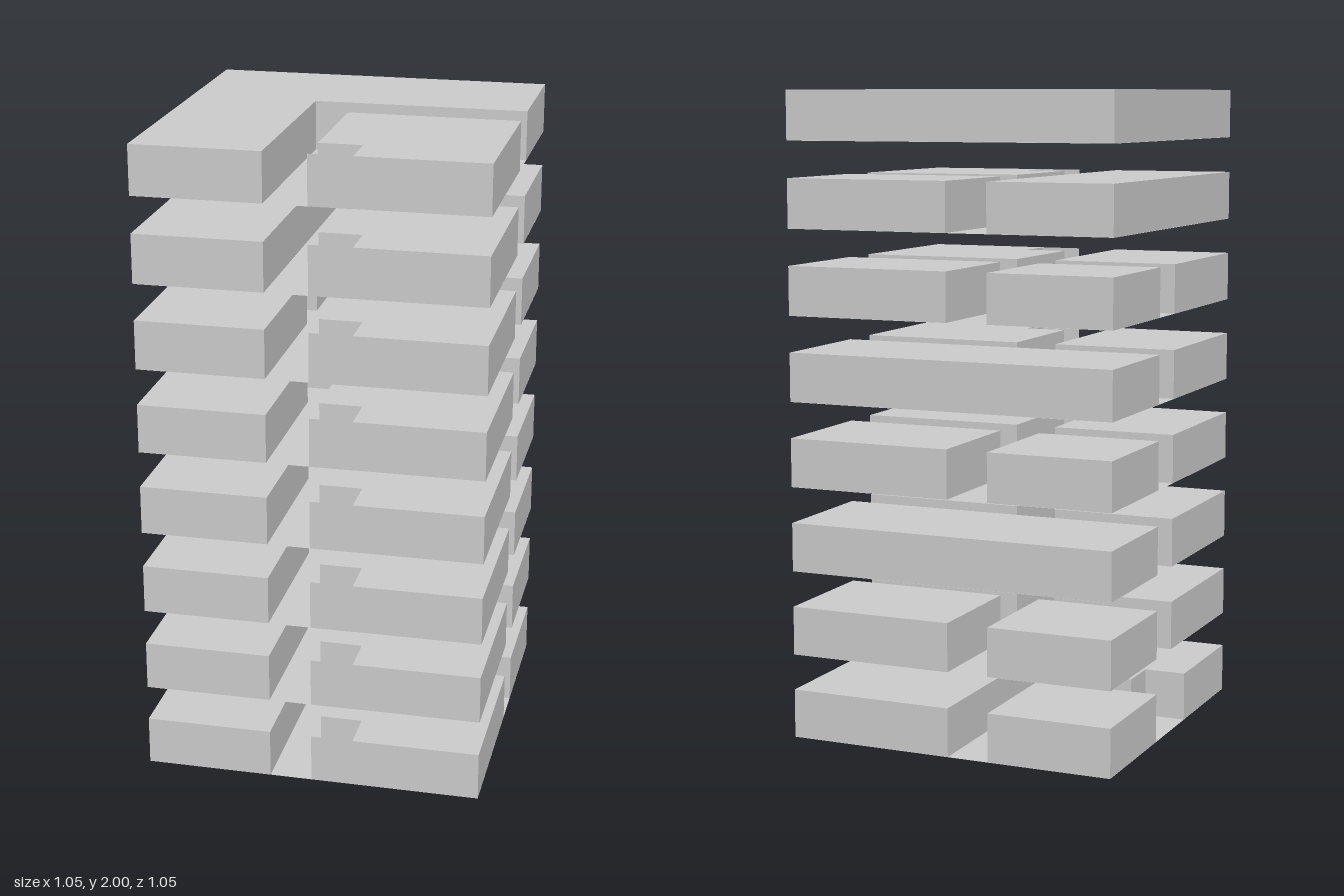
import * as THREE from 'three';

const CELL = 0.1315;   // plan is an 8 x 8 grid of cells
const PITCH = 0.264;   // storey to storey
const HEIGHT = 0.152;  // slab height
const LIFT = 0.0005;   // keeps blocks just clear of their floor sheet

const material = new THREE.MeshStandardMaterial({ color: 0xcccccc, flatShading: true });
const sheetMaterial = new THREE.MeshStandardMaterial({ color: 0xcccccc, side: THREE.DoubleSide });

// grid coordinate to model coordinate
const at = (i) => (i - 4) * CELL;

const rect = (x0, x1, z0, z1) => [[x0, z0], [x1, z0], [x1, z1], [x0, z1]];

// upright block from a plan outline given in grid cells [x, z]
function block(name, outline) {
  const shape = new THREE.Shape(outline.map(([x, z]) => new THREE.Vector2(at(x), -at(z))));
  const geometry = new THREE.ExtrudeGeometry(shape, { depth: HEIGHT - LIFT, bevelEnabled: false });
  geometry.rotateX(-Math.PI / 2).translate(0, LIFT, 0);
  const mesh = new THREE.Mesh(geometry, material);
  mesh.name = name;
  return mesh;
}

// front block with its recessed corner cell
const FRONT = [[4, 4], [8, 4], [8, 8], [5, 8], [5, 7], [4, 7]];
// ground storey: front and back blocks joined, with a niche in the side
const JOINED = [[4, 0], [8, 0], [8, 3], [7, 3], [7, 4], [8, 4], [8, 8], [5, 8], [5, 7], [4, 7]];
const ELL = [[0, 0], [8, 0], [8, 3], [3, 3], [3, 8], [0, 8]];

// plan of each kind of storey, depending on which channels are cut
const PLANS = {
  ground: {
    joinedBlock: JOINED,
    cornerBlock: rect(0, 3, 0, 3),
    sideBlock: [[1, 4], [3, 4], [3, 8], [0, 8], [0, 5], [1, 5]],
  },
  cross: {
    frontBlock: FRONT,
    backBlock: rect(4, 8, 0, 3),
    cornerBlock: rect(0, 3, 0, 3),
    sideBlock: rect(0, 3, 4, 8),
  },
  backBar: { frontBlock: FRONT, backBar: rect(0, 8, 0, 3), sideBlock: rect(0, 3, 4, 8) },
  sideBar: { frontBlock: FRONT, backBlock: rect(4, 8, 0, 3), sideBar: rect(0, 3, 0, 8) },
  corner: { frontBlock: FRONT, cornerBar: ELL },
};

const STOREYS = ['ground', 'cross', 'backBar', 'cross', 'backBar', 'cross', 'sideBar', 'corner'];

export function createModel() {
  const model = new THREE.Group();
  model.name = 'slabTower';

  STOREYS.forEach((kind, level) => {
    const storey = new THREE.Group();
    storey.name = `storey${level + 1}`;
    storey.position.y = level * PITCH;
    for (const [name, outline] of Object.entries(PLANS[kind])) storey.add(block(name, outline));

    // thin floor sheet under the whole storey
    const floor = new THREE.Mesh(
      new THREE.PlaneGeometry(8 * CELL, 8 * CELL).rotateX(-Math.PI / 2), sheetMaterial);
    floor.name = 'floorSheet';
    storey.add(floor);

    // thin screen closing the front of the recessed corner cell
    const screen = new THREE.Mesh(new THREE.PlaneGeometry(CELL, HEIGHT), sheetMaterial);
    screen.name = 'frontScreen';
    screen.position.set(at(4.5), HEIGHT / 2, at(8));
    storey.add(screen);

    model.add(storey);
  });
  return model;
}
